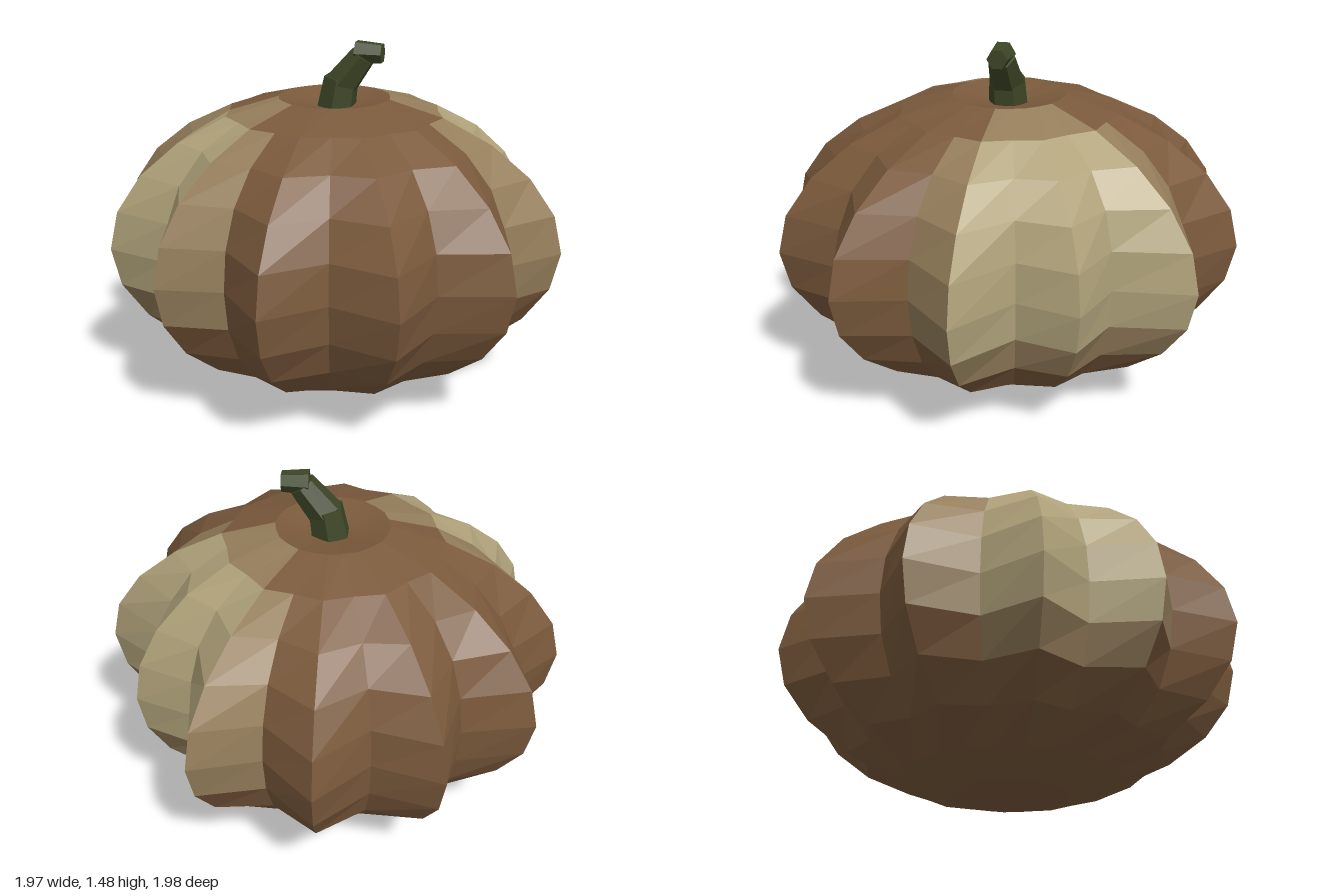
import * as THREE from 'three';

// Equatorial radius of each of the 24 columns, alternating ridge and valley, from +x towards +z
const COLUMNS = [
  0.985, 0.815, 1.0, 0.82, 1.0, 0.815, 0.99, 0.805, 0.955, 0.785, 0.97, 0.80,
  0.985, 0.805, 0.99, 0.785, 0.99, 0.805, 0.99, 0.81, 0.995, 0.757, 0.90, 0.745,
];
const RINGS = 12;
const PALE_COLUMNS = [8, 9, 10, 11, 20, 21, 22, 23, 0];

// Point on the ribbed body: ribs fade out towards both poles
function bodyPoint(ring, column) {
  if (ring === 0) return [0, 1.19, 0]; // bottom of the dimple under the stem
  const polar = (ring / RINGS) * Math.PI;
  const s = Math.sin(polar);
  const round = s * (0.93 + 0.07 * s * s);
  const r = round * THREE.MathUtils.lerp(0.99, COLUMNS[column % 24], s * s);
  const a = (column / 24) * Math.PI * 2;
  return [r * Math.cos(a), 0.635 + 0.63 * Math.cos(polar), r * Math.sin(a)];
}

function isPale(ring, column) {
  return ring >= 2 && ring <= 7 && PALE_COLUMNS.includes(column % 24);
}

function flatMaterial(color) {
  return new THREE.MeshStandardMaterial({ color, flatShading: true });
}

function createBody() {
  const group = new THREE.Group();
  group.name = 'body';
  const patches = [
    { name: 'brownSkin', color: 0x7b5a3c, points: [] },
    { name: 'blendedSkin', color: 0x957e5b, points: [] },
    { name: 'paleSkin', color: 0xb0a27a, points: [] },
  ];

  // Sort the skin panels by how many of their corners are pale
  for (let i = 0; i < RINGS; i++) {
    for (let k = 0; k < 24; k++) {
      const corners = [[i, k], [i, k + 1], [i + 1, k + 1], [i + 1, k]];
      const pale = corners.filter(([r, c]) => isPale(r, c)).length;
      const target = patches[pale === 4 ? 2 : pale >= 2 ? 1 : 0].points;
      const [a, b, c, d] = corners.map(([r, col]) => bodyPoint(r, col));
      if (i > 0) target.push(...a, ...b, ...c);
      if (i < RINGS - 1) target.push(...a, ...c, ...d);
    }
  }

  for (const { name, color, points } of patches) {
    const geometry = new THREE.BufferGeometry();
    geometry.setAttribute('position', new THREE.Float32BufferAttribute(points, 3));
    geometry.computeVertexNormals();
    const mesh = new THREE.Mesh(geometry, flatMaterial(color));
    mesh.name = name;
    group.add(mesh);
  }
  return group;
}

// Tapered six-sided stem piece between two points in the x-y plane
function stemPiece(name, from, to, r0, r1, material) {
  const start = new THREE.Vector3(...from, 0);
  const end = new THREE.Vector3(...to, 0);
  const axis = end.clone().sub(start);
  const mesh = new THREE.Mesh(new THREE.CylinderGeometry(r1, r0, axis.length(), 6), material);
  mesh.position.copy(start).add(end).multiplyScalar(0.5);
  mesh.rotation.z = Math.atan2(-axis.x, axis.y);
  mesh.name = name;
  return mesh;
}

function createStem() {
  const group = new THREE.Group();
  group.name = 'stem';
  const green = flatMaterial(0x3d4626);
  group.add(
    stemPiece('stemBase', [0.005, 1.17], [0.03, 1.325], 0.086, 0.075, green),
    stemPiece('stemMiddle', [0.03, 1.30], [0.125, 1.425], 0.074, 0.058, green),
    stemPiece('stemTip', [0.095, 1.436], [0.207, 1.435], 0.052, 0.043, green),
  );
  return group;
}

export function createModel() {
  const model = new THREE.Group();
  model.name = 'pumpkin';
  model.add(createBody(), createStem());
  return model;
}
